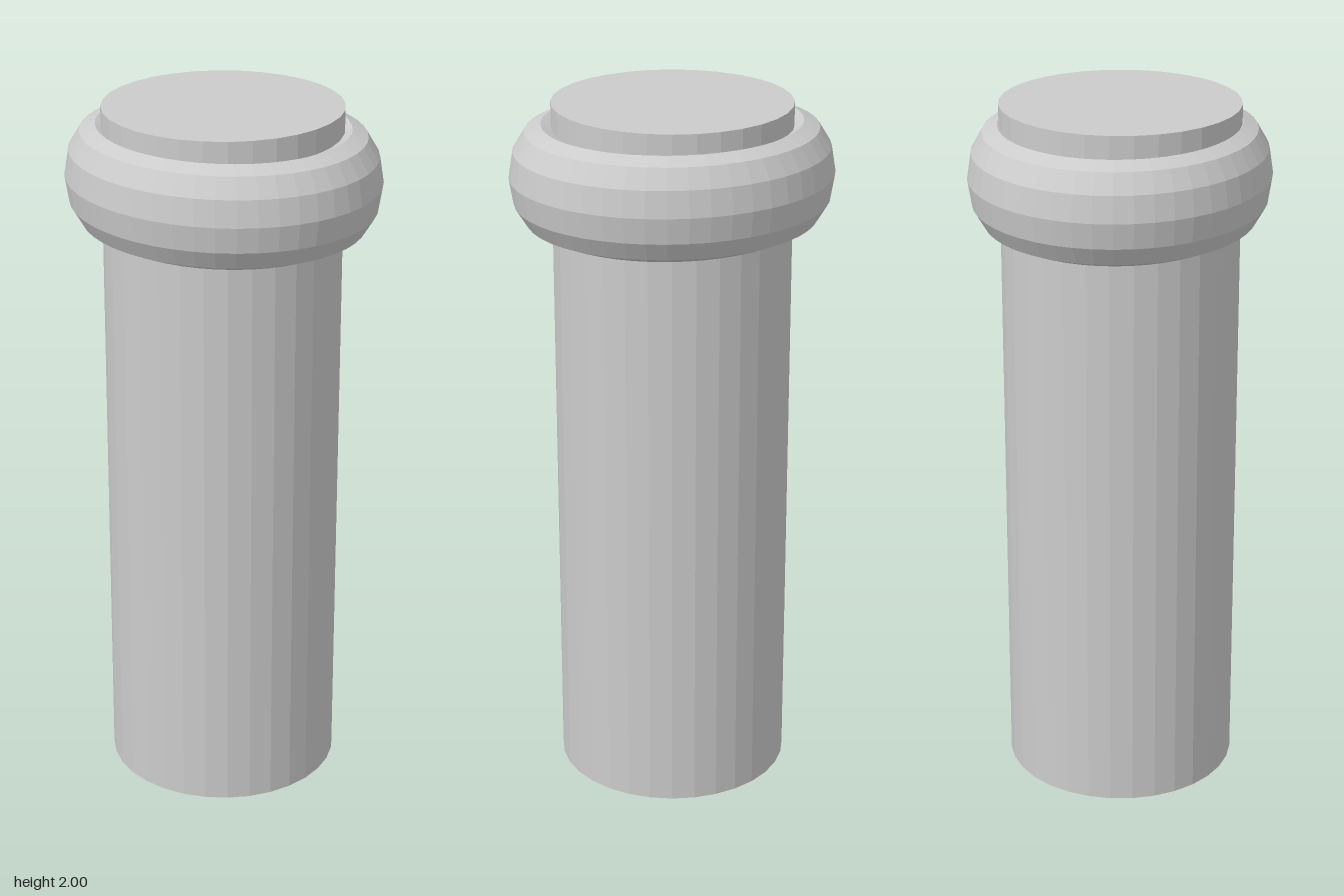
import * as THREE from 'three';

export function createModel() {
  const group = new THREE.Group();
  const material = new THREE.MeshStandardMaterial({ color: 0xcccccc, flatShading: true });

  const add = (name, geometry, y) => {
    const mesh = new THREE.Mesh(geometry, material);
    mesh.name = name;
    mesh.position.y = y;
    group.add(mesh);
  };

  // Straight round shaft running the full height
  add('shaft', new THREE.CylinderGeometry(0.332, 0.332, 2, 32), 1);

  // Collar near the top: a ring stretched in height and slightly front to back
  const collar = new THREE.TorusGeometry(0.333, 0.083, 12, 48);
  collar.rotateX(Math.PI / 2);
  collar.scale(1, 1.75, 1.09);
  add('collar', collar, 1.8);

  return group;
}
